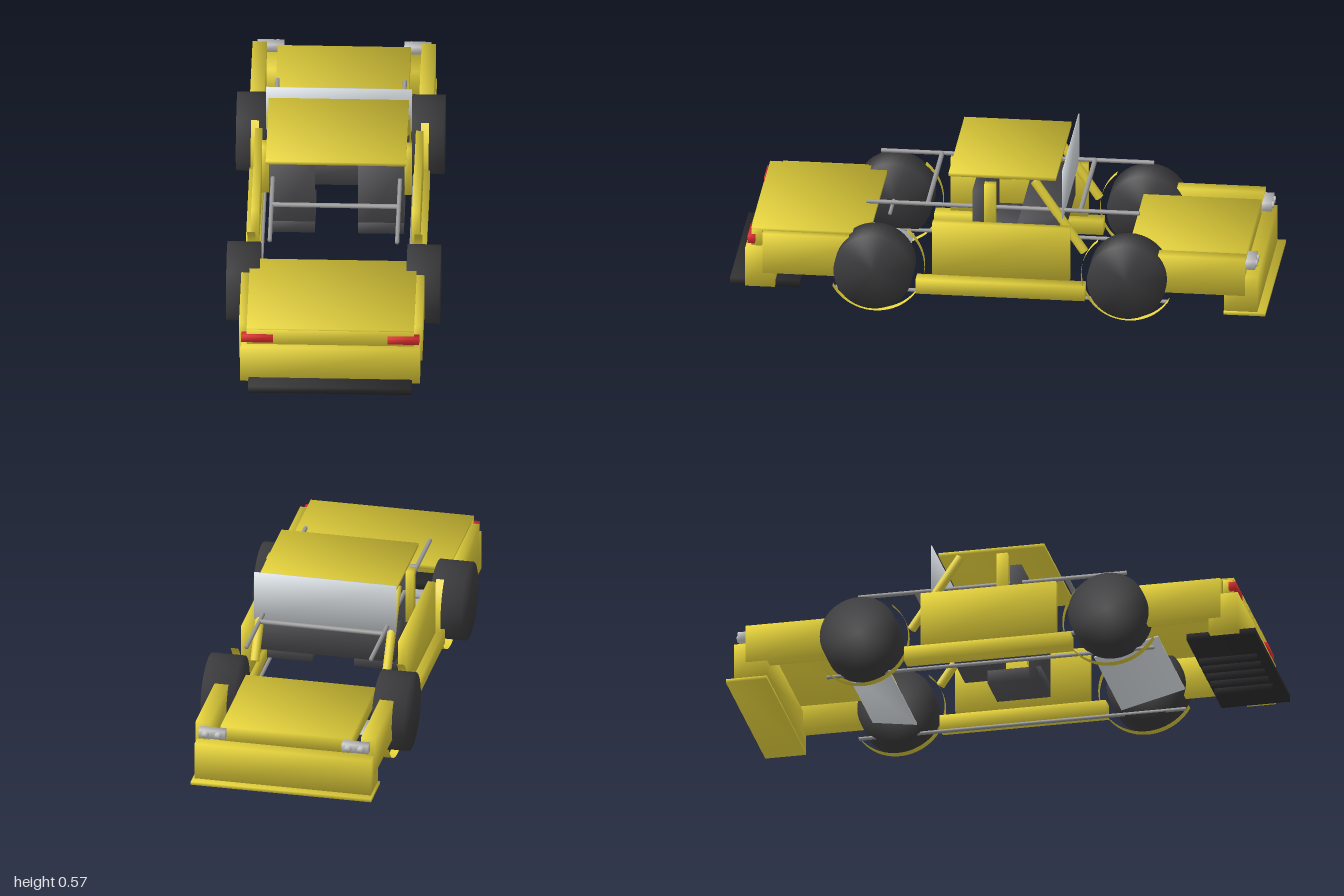
import * as THREE from 'three';
import { mergeVertices } from 'three/addons/utils/BufferGeometryUtils.js';

const mat = (color, side = THREE.FrontSide) => new THREE.MeshStandardMaterial({ color, side });

// Box whose normals point out through its corners, so shading rolls over every edge
function softBox(w, h, d) {
  const geo = new THREE.BoxGeometry(w, h, d);
  const { position, normal } = geo.attributes;
  const k = 1 / Math.sqrt(3);
  for (let i = 0; i < position.count; i++) {
    normal.setXYZ(i, k * Math.sign(position.getX(i)), k * Math.sign(position.getY(i)), k * Math.sign(position.getZ(i)));
  }
  return geo;
}

// Cylinder with its rims welded for smooth shading
function softCylinder(radius, length, sides) {
  const geo = new THREE.CylinderGeometry(radius, radius, length, sides);
  geo.deleteAttribute('uv');
  geo.deleteAttribute('normal');
  const welded = mergeVertices(geo, 1e-4);
  welded.computeVertexNormals();
  return welded;
}

export function createModel() {
  const car = new THREE.Group();
  car.name = 'car';
  const yellow = mat(0xe8d53c);
  const yellowThin = mat(0xe8d53c, THREE.DoubleSide);
  const dark = mat(0x3c3c3e);
  const black = mat(0x2a2a2c);
  const seatGrey = mat(0x505054);
  const silver = mat(0xdfe5e9);
  const metal = mat(0x9a9a9a);
  const red = mat(0xe03030);
  const white = mat(0xe6e6e6);

  function add(name, geo, material) {
    const mesh = new THREE.Mesh(geo, material);
    mesh.name = name;
    car.add(mesh);
    return mesh;
  }

  // Box given by its low and high limits on each axis
  function box(name, material, x0, x1, y0, y1, z0, z1) {
    const geo = softBox(x1 - x0, y1 - y0, z1 - z0);
    geo.translate((x0 + x1) / 2, (y0 + y1) / 2, (z0 + z1) / 2);
    return add(name, geo, material);
  }

  // The same box on both sides of the car
  function pair(name, material, x0, x1, ...rest) {
    box(name + 'Left', material, x0, x1, ...rest);
    box(name + 'Right', material, -x1, -x0, ...rest);
  }

  // Straight round bar between two points
  function bar(name, material, a, b, radius, sides = 12) {
    const from = new THREE.Vector3(...a), to = new THREE.Vector3(...b);
    const dir = to.clone().sub(from);
    const mesh = add(name, softCylinder(radius, dir.length(), sides), material);
    mesh.position.copy(from).add(to).multiplyScalar(0.5);
    mesh.quaternion.setFromUnitVectors(new THREE.Vector3(0, 1, 0), dir.normalize());
  }

  // Tail: bumper, upper panel, deck lid, quarter panels and lights
  box('rearBumper', yellow, -0.333, 0.333, 0.08, 0.235, 0.83, 0.94);
  box('tailPanel', yellow, -0.31, 0.31, 0.225, 0.3, 0.88, 0.92);
  box('deckLid', yellow, -0.31, 0.31, 0.29, 0.306, 0.48, 0.92);
  pair('quarterPanel', yellow, 0.305, 0.34, 0.138, 0.296, 0.47, 0.875);
  pair('tailLight', red, 0.212, 0.33, 0.251, 0.28, 0.905, 0.932);

  // Diffuser with fins
  box('diffuser', black, -0.303, 0.303, 0.07, 0.097, 0.74, 1);
  for (let i = -2; i <= 2; i++) {
    const x = i * 0.067;
    box('diffuserFin', black, x - 0.004, x + 0.004, 0.046, 0.072, 0.75, 0.97);
  }

  // Nose: front bumper, splitter, hood, fenders and headlights
  box('frontBumper', yellow, -0.335, 0.335, 0.068, 0.21, -0.97, -0.845);
  box('splitter', yellow, -0.342, 0.342, 0.055, 0.068, -1, -0.845);
  box('hood', yellow, -0.247, 0.247, 0.21, 0.268, -0.92, -0.48);
  pair('frontFender', yellow, 0.287, 0.34, 0.133, 0.28, -0.925, -0.49);
  pair('headlight', white, 0.222, 0.322, 0.232, 0.265, -0.96, -0.925);
  for (const s of [-1, 1]) {
    for (const x of [0.247, 0.295]) {
      bar('headlightLamp', white, [s * x, 0.249, -0.966], [s * x, 0.249, -0.945], 0.013, 16);
    }
  }

  // Doors, sills, roof, pillars and windscreen
  pair('door', yellow, 0.284, 0.312, 0.15, 0.36, -0.268, 0.245);
  pair('sill', yellow, 0.28, 0.335, 0.08, 0.137, -0.325, 0.305);
  box('roof', yellow, -0.26, 0.26, 0.528, 0.542, -0.21, 0.19);
  pair('rearPillar', yellow, 0.25, 0.278, 0.3, 0.51, 0.013, 0.055);
  for (const s of [-1, 1]) {
    bar('windscreenPillar', yellow, [s * 0.25, 0.52, -0.13], [s * 0.25, 0.245, -0.315], 0.017, 16);
  }
  box('windscreen', silver, -0.27, 0.27, 0.38, 0.572, -0.238, -0.234);

  // Cabin: seats and a dashboard with a sloping top
  pair('seatBack', seatGrey, 0.08, 0.25, 0.155, 0.47, 0.058, 0.102);
  pair('seatCushion', seatGrey, 0.08, 0.25, 0.155, 0.205, -0.1, 0.102);
  const dash = box('dashboard', seatGrey, -0.262, 0.262, 0.25, 0.387, -0.225, -0.07);
  const corners = dash.geometry.attributes.position;
  for (let i = 0; i < corners.count; i++) {
    if (corners.getY(i) > 0.3 && corners.getZ(i) > -0.15) corners.setY(i, 0.362);
  }

  // Sloping inner floor panels beneath the hood and the deck
  const floors = [['frontFloor', -0.485, 0.17, 0.15], ['rearFloor', 0.495, 0.25, -0.25]];
  for (const [name, z, depth, tilt] of floors) {
    const panel = add(name, softBox(0.47, 0.006, depth), silver);
    panel.position.set(0, 0.1, z);
    panel.rotation.x = tilt;
  }

  // Tube frame
  for (const s of [-1, 1]) {
    bar('upperRail', metal, [s * 0.236, 0.402, -0.52], [s * 0.236, 0.402, 0.497], 0.008);
    bar('lowerRail', metal, [s * 0.276, 0.068, -0.63], [s * 0.276, 0.068, 0.61], 0.007);
    bar('rearHalfShaft', metal, [s * 0.15, 0.185, 0.455], [s * 0.3, 0.185, 0.455], 0.007);
    bar('frontStub', metal, [s * 0.24, 0.185, -0.49], [s * 0.3, 0.185, -0.49], 0.01);
  }
  for (const z of [-0.3, 0.27]) {
    bar('crossBar', metal, [-0.236, 0.402, z], [0.236, 0.402, z], 0.009);
  }

  // Wheels, each with a thin curved strip that climbs on the door side
  const deg = Math.PI / 180;
  const axles = [
    { end: 'rear', z: 0.457, x0: 0.272, x1: 0.396, strip: 0.31, radius: 0.184, start: 130 },
    { end: 'front', z: -0.487, x0: 0.263, x1: 0.386, strip: 0.315, radius: 0.176, start: -150 },
  ];
  for (const a of axles) {
    for (const s of [-1, 1]) {
      bar(a.end + 'Wheel', dark, [s * a.x0, 0.186, a.z], [s * a.x1, 0.186, a.z], 0.147, 40);
      const geo = new THREE.CylinderGeometry(a.radius, a.radius, 0.03, 32, 1, true, a.start * deg, 200 * deg);
      geo.rotateZ(Math.PI / 2);
      add(a.end + 'ArchStrip', geo, yellowThin).position.set(s * a.strip, 0.184, a.z);
    }
  }
  return car;
}
